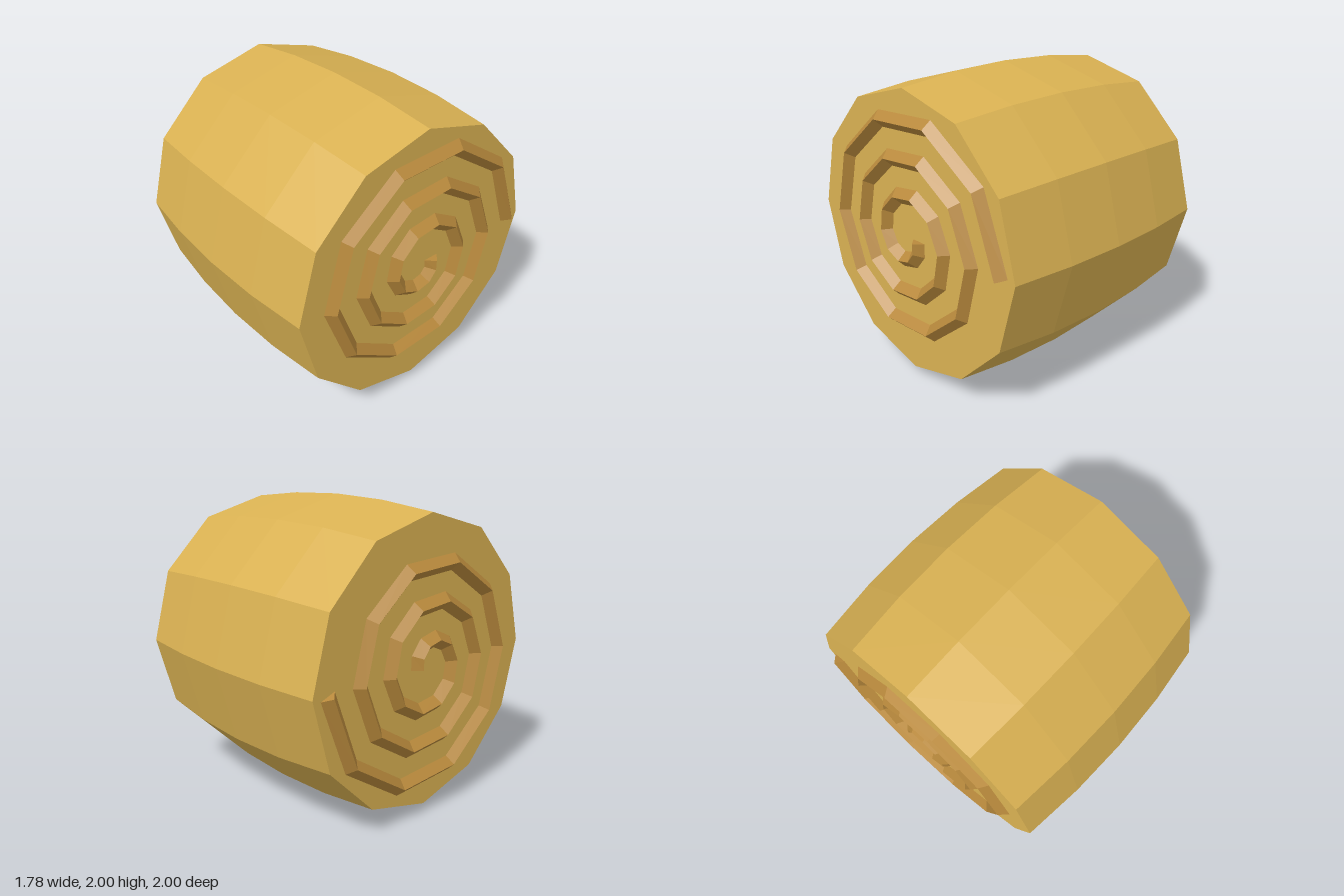
import * as THREE from 'three';

const HALF = 0.833;      // half length of the bale
const END_DROP = 0.06;   // how much the radius shrinks at the ends

const straw = new THREE.MeshStandardMaterial({ color: 0xd9b152, flatShading: true });
straw.name = 'straw';
const darkStraw = new THREE.MeshStandardMaterial({ color: 0xb8893c, flatShading: true });
darkStraw.name = 'darkStraw';

// Twelve-sided barrel lying along x, bulging in the middle
function baleGeometry() {
  const geo = new THREE.CylinderGeometry(1, 1, 2 * HALF, 12, 4);
  const p = geo.attributes.position;
  for (let i = 0; i < p.count; i++) {
    const y = p.getY(i);
    const r = 1 - END_DROP * (y / HALF) ** 2;
    p.setXYZ(i, p.getX(i) * r, y, p.getZ(i) * r);
  }
  geo.rotateZ(-Math.PI / 2);
  geo.computeVertexNormals();
  return geo;
}

// Diamond-section ridge following a three-turn spiral, with closed ends
function spiralGeometry() {
  const turns = 3, steps = 30, w = 0.055;
  const points = [];
  for (let i = 0; i <= steps; i++) {
    const t = i / steps, a = t * turns * Math.PI * 2, r = 0.1 + 0.73 * t;
    points.push(new THREE.Vector3(HALF, -r * Math.sin(a), -r * Math.cos(a)));
  }
  const out = new THREE.Vector3(1, 0, 0);
  const pos = [], idx = [];
  points.forEach((c, i) => {
    const prev = points[Math.max(i - 1, 0)], next = points[Math.min(i + 1, steps)];
    const side = next.clone().sub(prev).normalize().cross(out);
    for (let j = 0; j < 4; j++) {
      const a = j * Math.PI / 2;
      const v = c.clone().addScaledVector(out, w * Math.cos(a)).addScaledVector(side, w * Math.sin(a));
      pos.push(v.x, v.y, v.z);
      if (i < steps) {
        const k = (j + 1) % 4, b = i * 4;
        idx.push(b + j, b + k, b + 4 + j, b + k, b + 4 + k, b + 4 + j);
      }
    }
  });
  const e = steps * 4;
  idx.push(0, 2, 1, 0, 3, 2, e, e + 1, e + 2, e, e + 2, e + 3);
  const geo = new THREE.BufferGeometry();
  geo.setAttribute('position', new THREE.Float32BufferAttribute(pos, 3));
  geo.setIndex(idx);
  geo.computeVertexNormals();
  return geo;
}

export function createModel() {
  const model = new THREE.Group();
  model.name = 'hayBale';

  const bale = new THREE.Mesh(baleGeometry(), straw);
  bale.name = 'bale';
  bale.position.y = 1;
  model.add(bale);

  // One spiral on each end, the second turned half a turn about z
  const spiral = spiralGeometry();
  ['leftSpiral', 'rightSpiral'].forEach((name, i) => {
    const mesh = new THREE.Mesh(spiral, darkStraw);
    mesh.name = name;
    mesh.position.y = 1;
    mesh.rotation.z = i * Math.PI;
    model.add(mesh);
  });
  return model;
}
